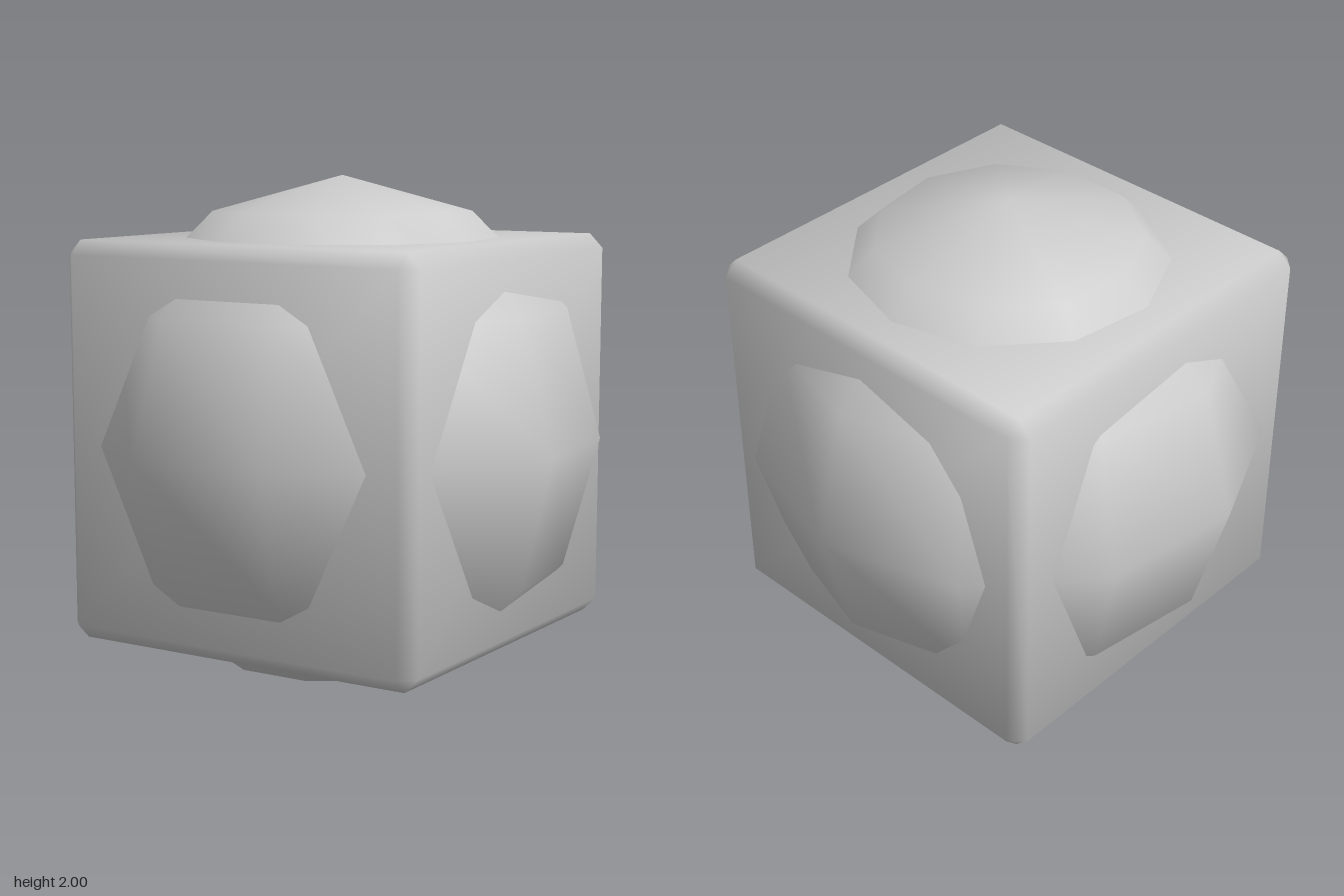
import * as THREE from 'three';
import { ConvexGeometry } from 'three/addons/geometries/ConvexGeometry.js';

// Cube with a flat chamfer on every edge and corner, shaded smoothly across it
function chamferedCube(half, chamfer) {
  const inner = half - chamfer;
  const points = [];
  for (const sx of [-1, 1]) for (const sy of [-1, 1]) for (const sz of [-1, 1]) {
    points.push(
      new THREE.Vector3(sx * half, sy * inner, sz * inner),
      new THREE.Vector3(sx * inner, sy * half, sz * inner),
      new THREE.Vector3(sx * inner, sy * inner, sz * half)
    );
  }
  const geometry = new ConvexGeometry(points);

  // Each corner normal leans from its face towards the neighbouring chamfers
  const position = geometry.attributes.position;
  const normal = geometry.attributes.normal;
  const middle = half - chamfer / 2;
  const lean = (v) => Math.sign(v) * (Math.abs(v) > middle ? 0.877 : 0.341);
  for (let i = 0; i < position.count; i++) {
    normal.setXYZ(i, lean(position.getX(i)), lean(position.getY(i)), lean(position.getZ(i)));
  }
  geometry.normalizeNormals();
  return geometry;
}

export function createModel() {
  const grey = new THREE.MeshStandardMaterial({ color: 0xcccccc });
  grey.name = 'light grey';

  const model = new THREE.Group();
  model.name = 'cubeAndBall';

  const cube = new THREE.Mesh(chamferedCube(0.765, 0.055), grey);
  cube.name = 'chamferedCube';

  // Eleven-sided ball with one meridian pointing straight back
  const ball = new THREE.Mesh(new THREE.SphereGeometry(1, 11, 6, -Math.PI / 2), grey);
  ball.name = 'ball';

  for (const part of [cube, ball]) {
    part.position.set(0, 1, 0.02);
    model.add(part);
  }
  return model;
}
